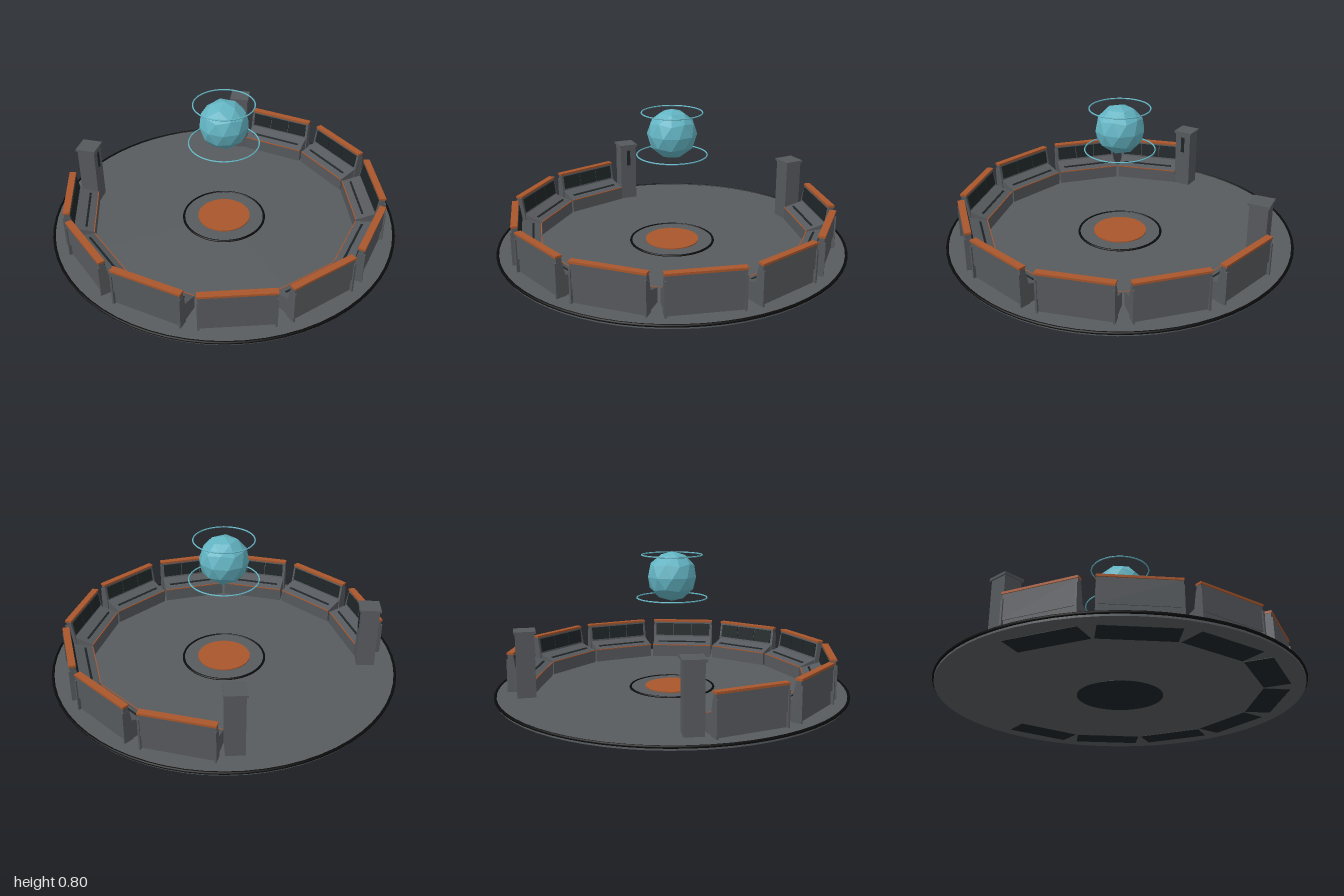
import * as THREE from 'three';

const paint = (name, color) => {
  const m = new THREE.MeshStandardMaterial({ color });
  m.name = name;
  return m;
};

export function createModel() {
  const floorGray = paint('floor gray', 0x585c5f);
  const panelGray = paint('panel gray', 0x56595d);
  const black = paint('trim black', 0x0b0b0c);
  const screenDark = paint('screen dark', 0x1e2527);
  const orange = paint('copper orange', 0xa9562b);
  const teal = paint('hologram teal', 0x63b4c3);
  teal.flatShading = true;

  const model = new THREE.Group();
  model.name = 'commandRoom';

  const add = (parent, name, geometry, material, x = 0, y = 0, z = 0) => {
    const mesh = new THREE.Mesh(geometry, material);
    mesh.name = name;
    mesh.position.set(x, y, z);
    parent.add(mesh);
    return mesh;
  };
  const box = (parent, name, material, w, h, d, x, y, z) =>
    add(parent, name, new THREE.BoxGeometry(w, h, d), material, x, y, z);
  const ring = (parent, name, material, radius, tube, y) => {
    const mesh = add(parent, name, new THREE.TorusGeometry(radius, tube, 8, 64), material, 0, y, 0);
    mesh.rotation.x = Math.PI / 2;
    return mesh;
  };

  // Floor, black rim and centre projector
  add(model, 'floor', new THREE.CylinderGeometry(0.99, 0.99, 0.02, 64), floorGray, 0, 0.012, 0);
  ring(model, 'floorRim', black, 0.992, 0.008, 0.02);
  add(model, 'projectorBase', new THREE.CylinderGeometry(0.235, 0.235, 0.006, 48), floorGray, 0, 0.023, 0);
  ring(model, 'projectorRim', black, 0.237, 0.007, 0.024);
  add(model, 'projectorPlate', new THREE.CylinderGeometry(0.153, 0.153, 0.006, 32), orange, 0, 0.029, 0);
  add(model, 'projectorUnderside', new THREE.CylinderGeometry(0.235, 0.235, 0.004, 48), screenDark, 0, 0.002, 0);

  // Floating faceted globe standing on one of its corners, with two thin rings
  const globe = add(model, 'hologramGlobe', new THREE.IcosahedronGeometry(0.14, 1), teal, 0, 0.66, 0);
  globe.rotation.z = -Math.atan2(1, (1 + Math.sqrt(5)) / 2);
  ring(model, 'upperHologramRing', teal, 0.169, 0.004, 0.78);
  ring(model, 'lowerHologramRing', teal, 0.197, 0.004, 0.54);

  // Solid of constant (radius, height) profile, running across the console
  const across = (points, width) => {
    const shape = new THREE.Shape(points.map(([r, y]) => new THREE.Vector2(r, y)));
    const g = new THREE.ExtrudeGeometry(shape, { depth: width, bevelEnabled: false });
    g.rotateY(-Math.PI / 2);
    g.translate(width / 2, 0, 0);
    return g;
  };
  const deskShape = across([[0.745, 0.01], [0.89, 0.01], [0.89, 0.14], [0.87, 0.14], [0.745, 0.1]], 0.385);
  const backShape = across([[0.855, 0.13], [0.895, 0.1], [0.899, 0.1], [0.899, 0.236], [0.87, 0.236]], 0.395);
  const cheekShape = across([[0.85, 0.02], [0.907, 0.02], [0.907, 0.21], [0.866, 0.21], [0.85, 0.13]], 0.01);

  // One console, facing the centre from +z
  const addConsole = (angle) => {
    const unit = new THREE.Group();
    unit.name = 'console';
    unit.rotation.y = angle;
    model.add(unit);
    add(unit, 'desk', deskShape, panelGray);
    add(unit, 'backPanel', backShape, panelGray);
    for (const side of [-1, 1]) add(unit, 'endCheek', cheekShape, panelGray, side * 0.194);
    box(unit, 'topRail', orange, 0.4, 0.012, 0.038, 0, 0.241, 0.885);
    box(unit, 'deskEdge', orange, 0.385, 0.005, 0.005, 0, 0.1, 0.745);
    const slot = box(unit, 'keySlot', screenDark, 0.32, 0.006, 0.012, 0, 0.115, 0.79);
    slot.rotation.x = -Math.atan2(0.04, 0.125);
    // Three screens leaning back with the panel
    for (const i of [-1, 0, 1]) {
      const screen = box(unit, 'screen', screenDark, 0.118, 0.08, 0.008, i * 0.123, 0.186, 0.861);
      screen.rotation.x = Math.atan2(0.015, 0.106);
    }
    box(unit, 'consoleUnderside', screenDark, 0.385, 0.004, 0.145, 0, 0.002, 0.818);
  };
  for (let i = -4; i <= 4; i++) addConsole(i * Math.PI / 6);

  // Entrance posts at both ends of the console arc
  for (const side of [-1, 1]) {
    const post = new THREE.Group();
    post.name = side > 0 ? 'leftPost' : 'rightPost';
    post.rotation.y = side * THREE.MathUtils.degToRad(138.3);
    model.add(post);
    box(post, 'postShaft', panelGray, 0.102, 0.36, 0.102, 0, 0.2, 0.823);
    box(post, 'postCap', panelGray, 0.118, 0.014, 0.118, 0, 0.383, 0.823);
    if (side < 0) box(post, 'postSlot', screenDark, 0.022, 0.1, 0.006, 0, 0.3, 0.771);
  }
  return model;
}
